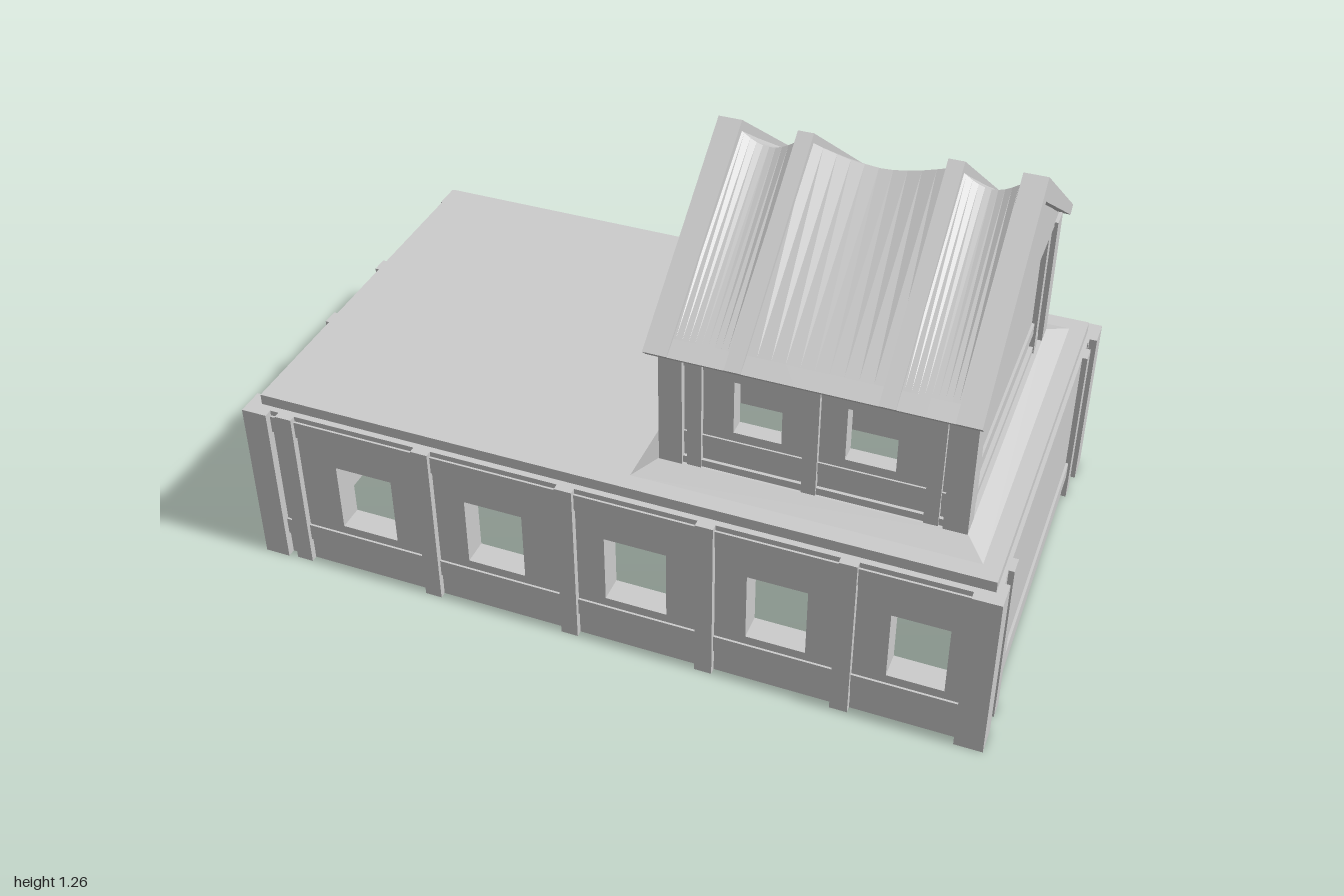
import * as THREE from 'three';

const mat = new THREE.MeshStandardMaterial({ color: 0xcccccc, flatShading: true });

function add(parent, name, geo) {
  const m = new THREE.Mesh(geo, mat);
  m.name = name;
  parent.add(m);
  return m;
}

// box given by its limits on each axis
function block(parent, name, x0, x1, y0, y1, z0, z1) {
  const g = new THREE.BoxGeometry(x1 - x0, y1 - y0, z1 - z0);
  g.translate((x0 + x1) / 2, (y0 + y1) / 2, (z0 + z1) / 2);
  return add(parent, name, g);
}

function poly(points, Type = THREE.Shape) {
  return new Type(points.map(p => new THREE.Vector2(...p)));
}
const rect = (x0, x1, y0, y1) => [[x0, y0], [x1, y0], [x1, y1], [x0, y1]];

// extruded outline whose outer face lies at z = face
function panel(parent, name, outline, holes, face, depth) {
  const s = poly(outline);
  holes.forEach(h => s.holes.push(poly(h, THREE.Path)));
  const g = new THREE.ExtrudeGeometry(s, { depth, bevelEnabled: false });
  g.translate(0, 0, face - depth);
  return add(parent, name, g);
}

// flat-faced surface through closed rings of points
function loft(rings) {
  const v = [];
  for (let i = 0; i + 1 < rings.length; i++) {
    const n = rings[i].length;
    for (let j = 0; j < n; j++) {
      const k = (j + 1) % n;
      const a = rings[i][j], b = rings[i][k], c = rings[i + 1][k], d = rings[i + 1][j];
      v.push(...a, ...b, ...c, ...a, ...c, ...d);
    }
  }
  const g = new THREE.BufferGeometry();
  g.setAttribute('position', new THREE.Float32BufferAttribute(v, 3));
  g.computeVertexNormals();
  return g;
}

function side(parent, name, angle) {
  const g = new THREE.Group();
  g.name = name;
  g.rotation.y = angle;
  parent.add(g);
  return g;
}

function lowerStorey(parent) {
  const windows = [[-0.755, -0.595], [-0.385, -0.225], [0, 0.165], [0.375, 0.53], [0.735, 0.88]];
  const posts = [-0.883, -0.492, -0.098, 0.27, 0.627];
  // long sides: the rear is the front turned half round
  for (const [name, angle] of [['lowerFront', 0], ['lowerBack', Math.PI]]) {
    const g = side(parent, name, angle);
    panel(g, 'longWall', rect(-0.98, 0.98, 0, 0.485), windows.map(w => rect(...w, 0.145, 0.345)), 0.562, 0.07);
    posts.forEach(x => block(g, 'wallPost', x - 0.023, x + 0.023, 0, 0.485, 0.55, 0.58));
    block(g, 'bottomRail', -0.95, 0.95, 0.07, 0.12, 0.555, 0.568);
    block(g, 'topRail', -0.95, 0.95, 0.42, 0.47, 0.555, 0.568);
    block(g, 'cornerPost', -1, -0.93, 0, 0.485, 0.51, 0.585);
    block(g, 'cornerPost', 0.92, 0.993, 0, 0.485, 0.51, 0.585);
  }
  // closed end
  const end = side(parent, 'closedEnd', Math.PI / 2);
  panel(end, 'endWall', rect(-0.55, 0.55, 0, 0.485), [], 0.978, 0.07);
  for (const s of [-1, 1]) block(end, 'endPost', s * 0.441 - 0.023, s * 0.441 + 0.023, 0, 0.485, 0.96, 0.992);
  block(end, 'endRail', -0.42, 0.42, 0.07, 0.12, 0.97, 0.985);
  // end with the doorway
  const door = side(parent, 'doorEnd', -Math.PI / 2);
  panel(door, 'doorWall', [[-0.55, 0], [-0.12, 0], [-0.12, 0.34], [0.12, 0.34],
    [0.12, 0], [0.55, 0], [0.55, 0.485], [-0.55, 0.485]], [], 0.982, 0.07);
  for (const s of [-1, 1]) block(door, 'doorPost', s * 0.14 - 0.023, s * 0.14 + 0.023, 0, 0.485, 0.96, 1);
  // flat roof with an opening under the upper storey
  const deck = panel(parent, 'flatRoof', rect(-0.965, 0.968, -0.545, 0.545),
    [rect(0.14, 0.83, -0.4, 0.4)], 0.515, 0.045);
  deck.rotation.x = -Math.PI / 2;
}

function upperStorey(parent) {
  const up = new THREE.Group();
  up.name = 'upperStorey';
  up.position.x = 0.485;
  parent.add(up);

  // sloping skirt around the foot of the walls
  const ring = (x, z, y) => [[-x, y, z], [x, y, z], [x, y, -z], [-x, y, -z]];
  add(up, 'skirt', loft([ring(0.44, 0.5, 0.514), ring(0.385, 0.437, 0.54),
    ring(0.34, 0.395, 0.54), ring(0.34, 0.395, 0.47)]));

  for (const angle of [0, Math.PI]) {
    // window walls
    const g = side(up, angle ? 'upperBack' : 'upperFront', angle);
    panel(g, 'windowWall', rect(-0.37, 0.37, 0.53, 0.91),
      [rect(-0.2, -0.08, 0.66, 0.81), rect(0.077, 0.2, 0.66, 0.81)], 0.422, 0.045);
    for (const x of [-0.295, -0.005, 0.295]) block(g, 'wallPost', x - 0.018, x + 0.018, 0.54, 0.91, 0.41, 0.436);
    for (const s of [-1, 1]) block(g, 'cornerPost', s * 0.355 - 0.03, s * 0.355 + 0.03, 0.54, 0.91, 0.38, 0.44);
    block(g, 'sill', -0.35, 0.35, 0.535, 0.56, 0.41, 0.431);
    block(g, 'lowRail', -0.35, 0.35, 0.6, 0.635, 0.41, 0.427);
    block(g, 'highRail', -0.35, 0.35, 0.83, 0.87, 0.41, 0.427);

    // gable ends
    const e = side(up, angle ? 'gableLeft' : 'gableRight', angle + Math.PI / 2);
    panel(e, 'endWall', rect(-0.41, 0.41, 0.53, 0.9), [], 0.362, 0.045);
    panel(e, 'gable', [[-0.45, 0.897], [0.45, 0.897], [0, 1.2]], [], 0.376, 0.06);
    for (const s of [-1, 1]) block(e, 'endPost', s * 0.332 - 0.017, s * 0.332 + 0.017, 0.54, 0.9, 0.35, 0.376);
    block(e, 'sill', -0.4, 0.4, 0.535, 0.56, 0.35, 0.373);
    block(e, 'endRail', -0.32, 0.32, 0.6, 0.635, 0.35, 0.369);
  }
}

function pitchedRoof(parent) {
  const roof = new THREE.Group();
  roof.name = 'pitchedRoof';
  parent.add(roof);
  // four rafters standing proud of the covering
  const rafters = [[0.085, 0.145], [0.285, 0.325], [0.65, 0.69], [0.825, 0.885]];
  const chevron = [[-0.5, 0.9], [-0.48, 0.88], [0, 1.195], [0.48, 0.88], [0.5, 0.9], [0, 1.26]];
  for (const [x0, x1] of rafters) {
    panel(roof, 'rafter', chevron, [], x1, x1 - x0).rotation.y = Math.PI / 2;
  }
  // covering sags between rafters, most at the ridge
  for (let i = 0; i < 3; i++) {
    const x0 = rafters[i][1] - 0.01, x1 = rafters[i + 1][0] + 0.01;
    const rings = [];
    for (let k = 0; k <= 10; k++) {
      const t = k / 10, x = x0 + (x1 - x0) * t;
      const ridge = 1.237 - 0.037 * Math.sin(Math.PI * t);
      rings.push([[x, 0.897, -0.497], [x, 0.922, -0.455], [x, ridge, 0], [x, 0.922, 0.455],
        [x, 0.897, 0.497], [x, 0.88, 0.48], [x, 1.17, 0], [x, 0.88, -0.48]]);
    }
    add(roof, 'roofCovering', loft(rings));
  }
}

export function createModel() {
  const model = new THREE.Group();
  model.name = 'house';
  lowerStorey(model);
  upperStorey(model);
  pitchedRoof(model);
  return model;
}
